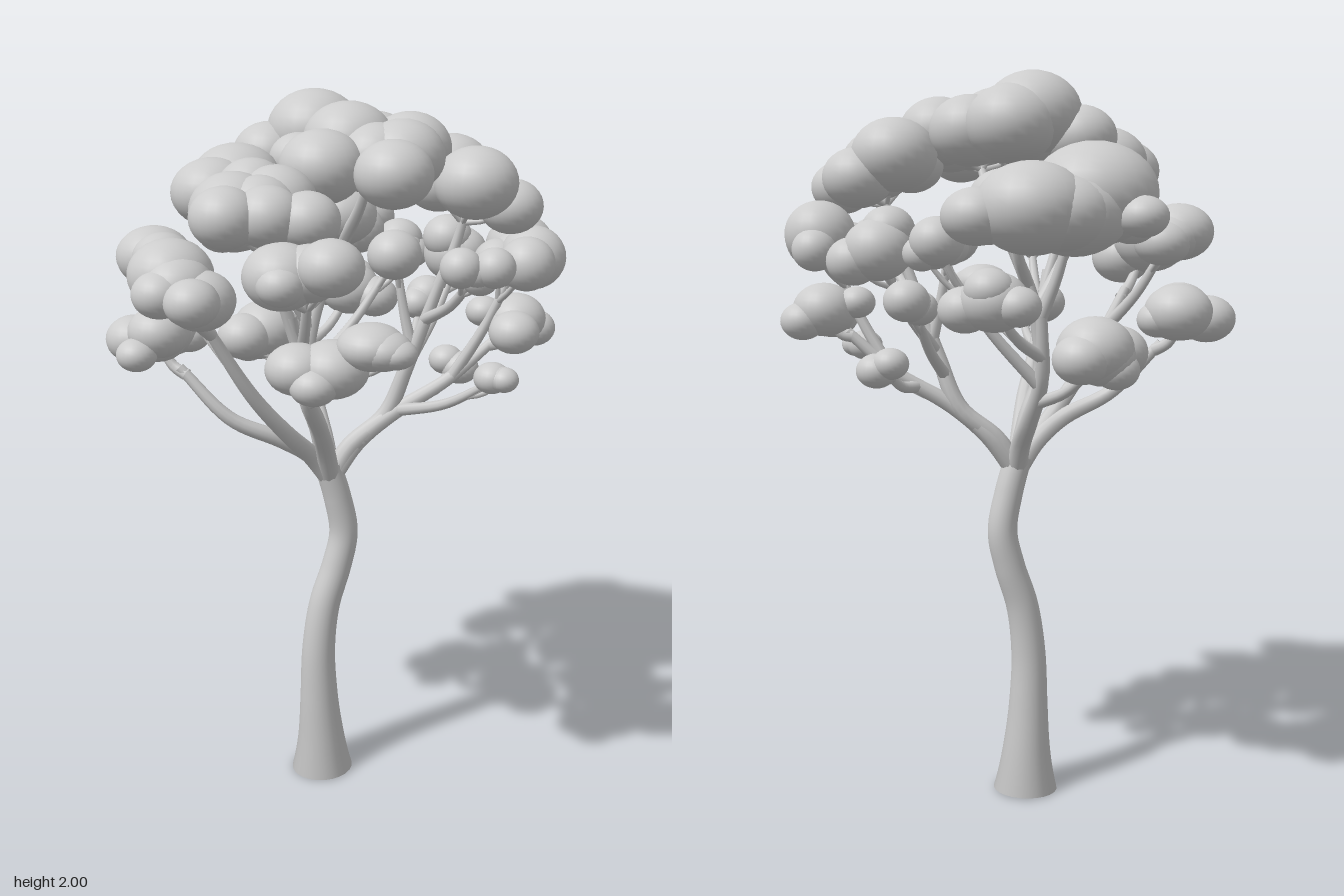
import * as THREE from 'three';

export function createModel() {
  const tree = new THREE.Group();
  tree.name = 'tree';
  const grey = new THREE.MeshStandardMaterial({ color: 0xcccccc, side: THREE.DoubleSide });
  grey.name = 'clayGrey';
  const V = (p) => new THREE.Vector3(...p);
  const curveOf = (pts) => new THREE.CatmullRomCurve3(pts.map((p) => (p.isVector3 ? p : V(p))));

  // Tube whose radius follows radiusAt(t)
  function taperedTube(name, curve, radiusAt, segments, sides, parent = tree) {
    const geo = new THREE.TubeGeometry(curve, segments, 1, sides);
    const pos = geo.attributes.position;
    const v = new THREE.Vector3();
    for (let i = 0; i <= segments; i++) {
      const c = curve.getPointAt(i / segments);
      const r = radiusAt(i / segments);
      for (let j = 0; j <= sides; j++) {
        const k = i * (sides + 1) + j;
        v.fromBufferAttribute(pos, k).sub(c).multiplyScalar(r).add(c);
        pos.setXYZ(k, v.x, v.y, v.z);
      }
    }
    const mesh = new THREE.Mesh(geo, grey);
    mesh.name = name;
    parent.add(mesh);
    return curve;
  }
  const taper = (a, b) => (t) => a + (b - a) * t;

  // Swaying trunk with a flared, open foot
  taperedTube('trunk', curveOf([
    [-0.047, 0, -0.055], [-0.05, 0.1, -0.055], [-0.056, 0.25, -0.055], [-0.056, 0.4, -0.055],
    [-0.037, 0.54, -0.055], [0.002, 0.66, -0.055], [0.023, 0.76, -0.055], [0.004, 0.87, -0.055], [-0.025, 0.97, -0.055],
  ]), (t) => 0.046 + 0.045 * Math.exp(-t * 5.8) - 0.008 * t * t, 48, 24);

  // Main limbs spreading from the fork
  const fork = [-0.018, 0.93, -0.055];
  const limb = (name, ...pts) =>
    taperedTube(name, curveOf([fork, ...pts]), taper(0.03, 0.014), 24, 10);
  const left = limb('rightSideLimb', [-0.08, 1.01, -0.05], [-0.17, 1.07, -0.03], [-0.31, 1.14, -0.05], [-0.43, 1.28, -0.12]);
  const leftUpper = limb('rightSideUpperLimb', [-0.08, 1.01, -0.04], [-0.16, 1.09, 0], [-0.27, 1.22, 0.03], [-0.4, 1.43, 0.05]);
  const front = limb('frontLimb', [-0.05, 1.02, 0], [-0.1, 1.12, 0.09], [-0.17, 1.24, 0.19], [-0.23, 1.48, 0.24]);
  const centre = limb('centreLimb', [-0.05, 1.08, -0.06], [-0.09, 1.2, -0.06], [-0.06, 1.4, -0.07], [0.04, 1.65, -0.05]);
  const back = limb('backLimb', [-0.01, 1.01, -0.11], [0, 1.09, -0.2], [0.0, 1.2, -0.28], [0.02, 1.4, -0.33]);
  const right = limb('leftSideLimb', [0.04, 1.02, -0.05], [0.14, 1.11, -0.03], [0.19, 1.25, 0], [0.27, 1.52, 0.06]);
  const outer = limb('outerLimb', [0.06, 1.03, -0.05], [0.15, 1.11, -0.02], [0.31, 1.21, 0.02], [0.43, 1.32, 0.06]);

  // Foliage clump: flattened lobes [x, y, z, radius] round a core, carried by a branch with twigs
  const ball = new THREE.SphereGeometry(1, 24, 16);
  function clump(name, carrier, t, lobes, squash = 0.8) {
    const group = new THREE.Group();
    group.name = name;
    tree.add(group);
    const tip = new THREE.Vector3();
    lobes.forEach((l) => tip.add(V(l.slice(0, 3)).divideScalar(lobes.length)));
    const start = carrier.getPointAt(t);
    const bend = start.clone().lerp(tip, 0.5);
    bend.y -= 0.025;
    const branch = taperedTube('branch', curveOf([start, bend, tip]), taper(0.018, 0.01), 12, 8, group);
    const from = branch.getPointAt(0.65);
    const addLobe = (part, position, r) => {
      const mesh = new THREE.Mesh(ball, grey);
      mesh.name = part;
      mesh.position.copy(position);
      mesh.scale.set(r, r * squash, r);
      group.add(mesh);
    };
    addLobe('leafCore', tip, 0.85 * Math.max(...lobes.map((l) => l[3])));
    for (const [x, y, z, r] of lobes) {
      const end = new THREE.Vector3(x, y, z);
      addLobe('leafLobe', end, r);
      const mid = from.clone().lerp(end, 0.5);
      mid.y -= 0.015;
      taperedTube('twig', curveOf([from, mid, end]), taper(0.009, 0.006), 6, 6, group);
    }
  }

  // Crown
  clump('crownBack', centre, 0.85, [
    [-0.01, 1.89, -0.19, 0.13], [0.06, 1.86, -0.22, 0.12], [0.13, 1.85, -0.1, 0.11],
    [-0.13, 1.83, -0.22, 0.1], [-0.1, 1.83, -0.06, 0.08]], 0.85);
  clump('crownFront', centre, 0.95, [
    [0, 1.88, 0.04, 0.12], [0.16, 1.86, 0.07, 0.11], [0.1, 1.85, 0.16, 0.11],
    [-0.11, 1.83, 0.14, 0.11], [0.03, 1.82, 0.27, 0.1]], 0.85);
  clump('backCanopy', back, 0.95, [
    [-0.11, 1.68, -0.36, 0.165], [0.08, 1.64, -0.41, 0.145], [0, 1.63, -0.43, 0.12],
    [-0.18, 1.62, -0.5, 0.065], [-0.25, 1.61, -0.29, 0.07], [0.21, 1.62, -0.37, 0.09]], 0.8);
  clump('leftSideCanopy', right, 0.95, [
    [0.31, 1.79, 0, 0.115], [0.29, 1.78, 0.2, 0.11], [0.4, 1.73, 0.04, 0.095],
    [0.41, 1.71, 0.17, 0.085], [0.24, 1.77, 0.08, 0.09]], 0.85);
  clump('rightSideCanopyBack', centre, 0.6, [
    [-0.27, 1.78, -0.07, 0.12], [-0.35, 1.76, -0.01, 0.11], [-0.22, 1.76, 0.02, 0.09]]);
  clump('rightSideCanopyFront', front, 0.9, [
    [-0.36, 1.74, 0.2, 0.11], [-0.25, 1.76, 0.2, 0.1], [-0.41, 1.74, 0.29, 0.085],
    [-0.31, 1.74, 0.31, 0.085], [-0.22, 1.73, 0.34, 0.08], [-0.29, 1.78, 0.13, 0.09]], 0.88);

  // Middle tier
  clump('rightSideMiddle', leftUpper, 0.95, [
    [-0.49, 1.57, 0.07, 0.11], [-0.54, 1.54, 0.15, 0.07], [-0.44, 1.52, 0.16, 0.09],
    [-0.49, 1.6, 0, 0.08], [-0.48, 1.53, 0.23, 0.07]], 0.85);
  clump('rightSideMiddleBack', leftUpper, 0.8, [
    [-0.49, 1.59, -0.1, 0.1], [-0.42, 1.56, -0.14, 0.08]]);
  clump('frontMiddle', front, 0.8, [
    [-0.3, 1.61, 0.38, 0.095], [-0.24, 1.62, 0.41, 0.08], [-0.21, 1.64, 0.47, 0.08],
    [-0.13, 1.62, 0.34, 0.045], [-0.32, 1.6, 0.43, 0.06]], 0.85);
  clump('leftSideMiddle', outer, 0.75, [
    [0.5, 1.58, 0.06, 0.095], [0.48, 1.57, 0.17, 0.09], [0.42, 1.57, 0.25, 0.075],
    [0.53, 1.54, 0, 0.06], [0.41, 1.55, 0.11, 0.07]], 0.95);
  clump('leftSideMiddleBack', right, 0.6, [
    [0.39, 1.54, -0.12, 0.09], [0.36, 1.59, -0.11, 0.07], [0.45, 1.51, -0.09, 0.07]], 0.9);
  clump('backCornerMiddle', back, 0.6, [
    [0.28, 1.56, -0.27, 0.07], [0.31, 1.53, -0.24, 0.05], [0.25, 1.54, -0.23, 0.05]], 0.9);
  clump('frontCornerMiddle', right, 0.8, [
    [0.29, 1.58, 0.32, 0.055], [0.27, 1.55, 0.28, 0.05], [0.21, 1.58, 0.29, 0.055]], 0.95);
  clump('innerLeftMiddle', right, 0.65, [[0.15, 1.57, 0.0, 0.075], [0.18, 1.55, -0.05, 0.06]], 0.9);
  clump('innerMiddle', centre, 0.7, [
    [0.04, 1.67, -0.12, 0.1], [0.1, 1.62, -0.16, 0.08], [-0.02, 1.6, -0.2, 0.07]], 0.85);

  // Lower tier
  clump('rightSideLower', left, 0.95, [
    [-0.43, 1.37, -0.22, 0.095], [-0.53, 1.35, -0.2, 0.08], [-0.48, 1.38, -0.13, 0.085],
    [-0.55, 1.33, -0.1, 0.055], [-0.38, 1.35, -0.2, 0.06]], 0.82);
  clump('frontLower', front, 0.65, [
    [-0.26, 1.38, 0.37, 0.08], [-0.18, 1.38, 0.4, 0.09], [-0.13, 1.35, 0.34, 0.06], [-0.24, 1.35, 0.43, 0.06]]);
  clump('frontTipLower', front, 0.62, [
    [-0.1, 1.44, 0.45, 0.085], [-0.06, 1.43, 0.5, 0.055]], 0.68);
  clump('leftSideLower', outer, 0.97, [
    [0.49, 1.38, 0.07, 0.085], [0.55, 1.35, 0.07, 0.06], [0.45, 1.36, 0.14, 0.07], [0.41, 1.4, 0.03, 0.05]], 0.85);
  clump('leftSideSmall', outer, 0.6, [
    [0.38, 1.22, -0.05, 0.055], [0.35, 1.24, -0.08, 0.05]], 0.85);
  clump('leftFrontSmall', outer, 0.45, [[0.33, 1.27, 0.25, 0.05], [0.35, 1.27, 0.28, 0.04]], 0.85);
  clump('backLower', back, 0.5, [
    [-0.08, 1.29, -0.44, 0.1], [-0.16, 1.28, -0.4, 0.08], [-0.03, 1.27, -0.47, 0.075], [-0.13, 1.24, -0.46, 0.06]], 0.85);
  clump('backUpperLower', back, 0.75, [
    [0.16, 1.41, -0.36, 0.09], [0.22, 1.39, -0.31, 0.07], [0.12, 1.4, -0.42, 0.06], [0.18, 1.44, -0.38, 0.065]], 0.85);
  clump('innerLower', right, 0.5, [
    [0.34, 1.41, -0.2, 0.06], [0.3, 1.39, -0.18, 0.05]], 0.9);

  return tree;
}
